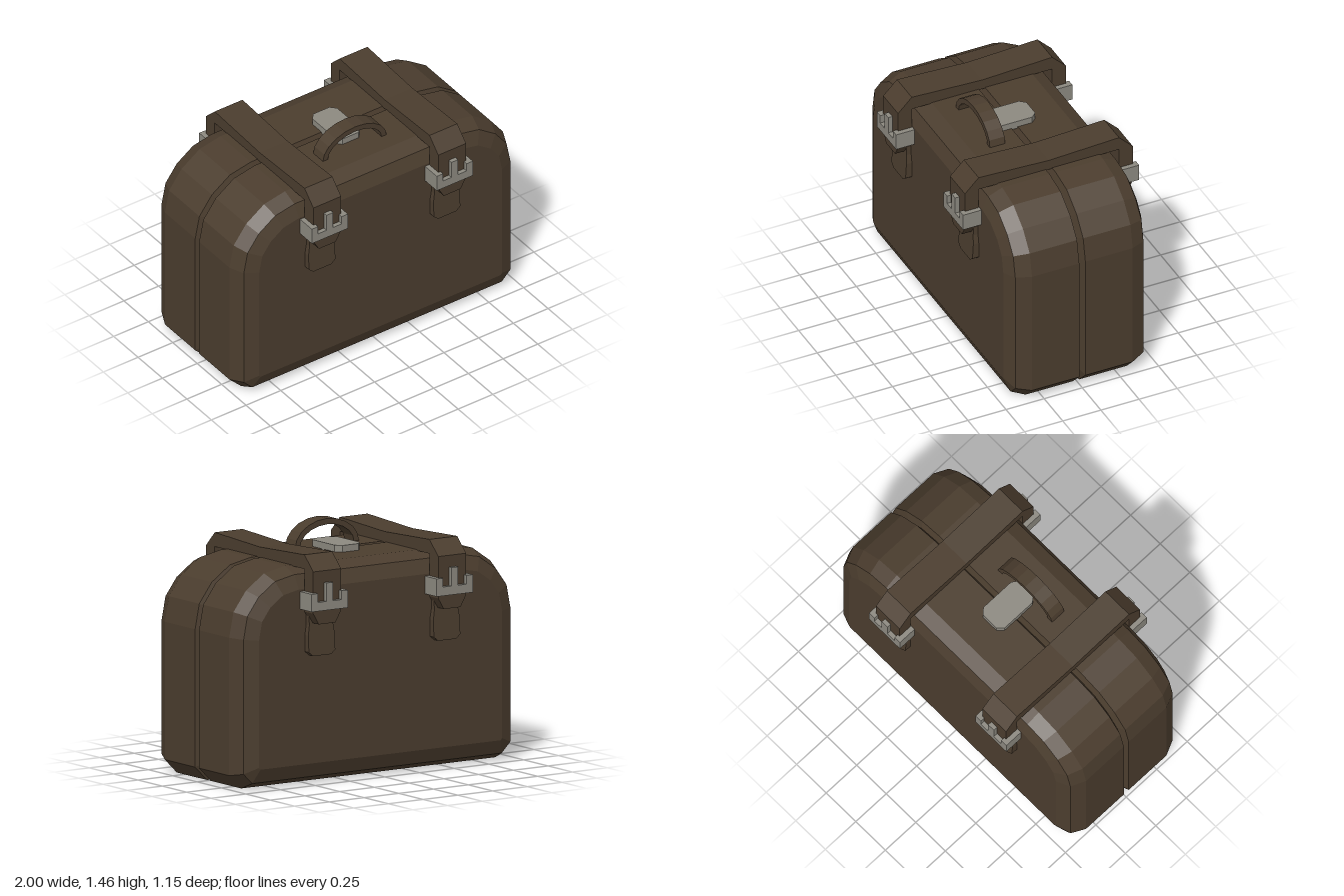
import * as THREE from 'three';

const leather = new THREE.MeshStandardMaterial({ color: 0x4b3d2e, flatShading: true });
leather.name = 'brown leather';
const metal = new THREE.MeshStandardMaterial({ color: 0x8c8980, flatShading: true });
metal.name = 'grey metal';

// Shape from a list of [x, y] points
const shapeOf = (pts) => new THREE.Shape(pts.map(([x, y]) => new THREE.Vector2(x, y)));
// Right half of an outline, bottom to top, completed by its mirror image
const mirrored = (half) => [...half, ...half.map(([x, y]) => [-x, y]).reverse()];

function extrude(pts, depth, z) {
  const g = new THREE.ExtrudeGeometry(shapeOf(pts), { depth, bevelEnabled: false });
  return g.translate(0, 0, z);
}

function add(parent, name, geometry, material) {
  const mesh = new THREE.Mesh(geometry, material);
  mesh.name = name;
  parent.add(mesh);
  return mesh;
}

// Moves every side of a counter-clockwise outline inward by d
function inset(pts, d) {
  const n = pts.length;
  const normal = (a, b) => new THREE.Vector2(a[1] - b[1], b[0] - a[0]).normalize();
  return pts.map((p, i) => {
    const n1 = normal(pts[(i + n - 1) % n], p);
    const n2 = normal(p, pts[(i + 1) % n]);
    const k = d / (1 + n1.dot(n2));
    return [p[0] + (n1.x + n2.x) * k, p[1] + (n1.y + n2.y) * k];
  });
}

// Bag shell: outline lofted along z with bevelled faces and a middle groove
function bodyGeometry() {
  const outline = mirrored([
    [0.915, 0], [1, 0.085], [1, 0.91], [0.97, 1.06], [0.88, 1.18], [0.75, 1.27], [0.6, 1.3],
  ]);
  const sections = [
    [-0.457, 0.125], [-0.42, 0.04], [-0.33, 0], [-0.02, 0], [0, 0.055],
    [0.02, 0], [0.33, 0], [0.42, 0.04], [0.457, 0.125],
  ];
  const n = outline.length;
  const pos = [];
  const idx = [];
  for (const [z, d] of sections) for (const [x, y] of inset(outline, d)) pos.push(x, y, z);
  for (let s = 0; s < sections.length - 1; s++) {
    for (let i = 0; i < n; i++) {
      const a = s * n + i;
      const b = s * n + ((i + 1) % n);
      idx.push(a, b, b + n, a, b + n, a + n);
    }
  }
  // Front and back faces
  const last = (sections.length - 1) * n;
  for (let i = 1; i < n - 1; i++) idx.push(0, i + 1, i, last, last + i, last + i + 1);
  const g = new THREE.BufferGeometry();
  g.setAttribute('position', new THREE.Float32BufferAttribute(pos, 3));
  g.setIndex(idx);
  const flat = g.toNonIndexed();
  flat.computeVertexNormals();
  return flat;
}

// Strap profile in (z, y), extruded across its width; lower ends narrow to a tip
function strapGeometry() {
  const outer = [[0.55, 1.04], [0.55, 1.29], [0.46, 1.38], [0, 1.36], [-0.46, 1.38], [-0.55, 1.29], [-0.55, 1.04]];
  const inner = [[-0.46, 1.04], [-0.46, 1.295], [0.46, 1.295], [0.46, 1.04]];
  const g = extrude([...outer, ...inner], 0.2, -0.1);
  return g.rotateY(-Math.PI / 2);
}

// Leather tab hanging below the buckle, leaning slightly out at the bottom
function tabGeometry() {
  const g = extrude(mirrored([[0.065, 0.775], [0.095, 0.8], [0.095, 0.9], [0.085, 0.96], [0.085, 1.03]]), 0.05, 0.45);
  const p = g.attributes.position;
  for (let i = 0; i < p.count; i++) {
    if (p.getZ(i) > 0.48) p.setZ(i, 0.5 - (p.getY(i) - 0.775) * 0.06);
  }
  g.computeVertexNormals();
  return g;
}

// Strap end, buckle and tab on one face of the bag
function fastening() {
  const group = new THREE.Group();
  group.name = 'fastening';
  add(group, 'strapTip', extrude(mirrored([[0.06, 0.972], [0.1, 1.04]]), 0.09, 0.46), leather);
  add(group, 'tab', tabGeometry(), leather);
  const cup = mirrored([[0.13, 1.057], [0.13, 1.163], [0.085, 1.163], [0.085, 1.11]]);
  add(group, 'buckle', extrude(cup, 0.12, 0.457), metal);
  const prong = new THREE.BoxGeometry(0.048, 0.13, 0.03).translate(0, 1.155, 0.562);
  add(group, 'bucklePin', prong, metal);
  return group;
}

// Arched carrying handle
function handleGeometry() {
  const arc = (rx, ry) => Array.from({ length: 11 }, (_, i) => {
    const t = (i / 10) * Math.PI;
    return [-0.02 + rx * Math.cos(t), 1.295 + ry * Math.sin(t)];
  });
  return extrude([...arc(0.23, 0.16), ...arc(0.195, 0.125).reverse()], 0.1, 0.12);
}

export function createModel() {
  const bag = new THREE.Group();
  bag.name = 'bag';
  add(bag, 'body', bodyGeometry(), leather);

  for (const x of [-0.45, 0.45]) {
    const strap = new THREE.Group();
    strap.name = x > 0 ? 'leftStrap' : 'rightStrap';
    strap.position.x = x;
    add(strap, 'band', strapGeometry(), leather);
    const back = fastening();
    back.rotation.y = Math.PI;
    strap.add(fastening(), back);
    bag.add(strap);
  }

  add(bag, 'handle', handleGeometry(), leather);

  // Metal clasp plate lying across the seam
  const plate = extrude(mirrored([[0.058, -0.15], [0.09, -0.115], [0.09, 0.115], [0.058, 0.15]]), 0.05, 0);
  add(bag, 'claspPlate', plate.rotateX(-Math.PI / 2).translate(0, 1.29, 0), metal);
  return bag;
}
